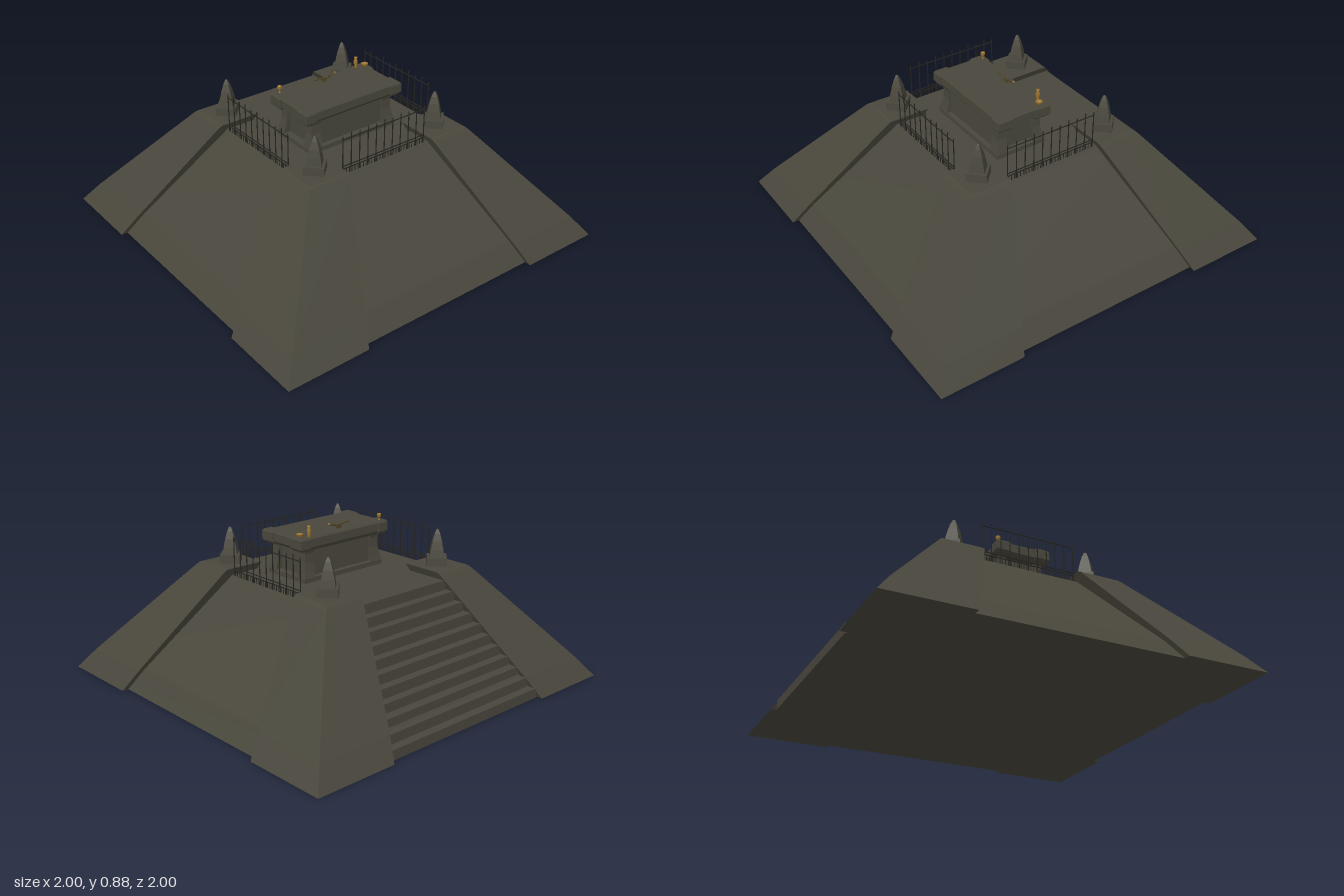
import * as THREE from 'three';

const mat = (name, color) => {
  const m = new THREE.MeshStandardMaterial({ color });
  m.name = name;
  return m;
};

// Lofts rectangles [y, x0, x1, z0, z1], bottom to top, into a closed solid
function loft(sections) {
  const pos = [];
  const rings = sections.map(([y, x0, x1, z0, z1]) =>
    [[x0, y, z1], [x1, y, z1], [x1, y, z0], [x0, y, z0]]);
  const quad = (a, b, c, d) => pos.push(...a, ...b, ...c, ...a, ...c, ...d);
  for (let s = 0; s < rings.length - 1; s++) {
    const lo = rings[s], up = rings[s + 1];
    for (let i = 0; i < 4; i++) {
      const j = (i + 1) % 4;
      quad(lo[i], lo[j], up[j], up[i]);
    }
  }
  const first = rings[0], last = rings[rings.length - 1];
  quad(first[3], first[2], first[1], first[0]);
  quad(...last);
  const g = new THREE.BufferGeometry();
  g.setAttribute('position', new THREE.Float32BufferAttribute(pos, 3));
  g.computeVertexNormals();
  return g;
}

// Orders a mirrored span so that the smaller value comes first
const span = (sign, a, b) => (sign > 0 ? [a, b] : [-b, -a]);

export function createModel() {
  const root = new THREE.Group();
  const stone = mat('dark stone', 0x49473c);
  const iron = mat('black iron', 0x25241f);
  const gold = mat('old gold', 0x9a7430);
  const bronze = mat('dull bronze', 0x4f4526);

  const add = (name, geometry, material, x = 0, y = 0, z = 0, parent = root) => {
    const m = new THREE.Mesh(geometry, material);
    m.name = name;
    m.position.set(x, y, z);
    parent.add(m);
    return m;
  };
  const box = (w, h, d) => new THREE.BoxGeometry(w, h, d);
  const lathe = (pts, n) => new THREE.LatheGeometry(pts.map(p => new THREE.Vector2(...p)), n);

  // Central mound with the recessed walls and the terrace floor
  const square = (y, r) => [y, -r, r, -r, r];
  add('mound', loft([square(0, 0.965), square(0.11, 0.885), square(0.565, 0.465), square(0.58, 0.452)]), stone);

  // Corner buttresses, each with a spire
  const buttress = [[0, 0.54, 1], [0.107, 0.493, 0.922], [0.6, 0.279, 0.517], [0.615, 0.272, 0.503], [0.62, 0.27, 0.492]];
  const spireProfile = [[0.054, 0], [0.046, 0.04], [0.034, 0.085], [0.02, 0.122], [0.009, 0.143], [0, 0.148]];
  for (const sx of [-1, 1]) for (const sz of [-1, 1]) {
    add('buttress', loft(buttress.map(([y, a, b]) => [y, ...span(sx, a, b), ...span(sz, a, b)])), stone);
    const spire = new THREE.Group();
    spire.name = 'spire';
    spire.position.set(sx * 0.385, 0.62, sz * 0.385);
    add('spireBase', new THREE.CylinderGeometry(0.073, 0.075, 0.044, 4).toNonIndexed(), stone, 0, 0.022, 0, spire);
    const tip = lathe(spireProfile, 4).toNonIndexed();
    tip.computeVertexNormals();
    add('spireTip', tip, stone, 0, 0.043, 0, spire);
    root.add(spire);
  }

  // Staircase on the model's right side, narrowing upward
  const steps = 11, rise = 0.58 / steps, run = 0.0445;
  for (let i = 0; i < steps; i++) {
    const x0 = -0.97 + i * run, top = (i + 1) * rise;
    const half = 0.54 - 0.27 * top / 0.62 + 0.012;
    add('step', box(-0.4 - x0, rise, half * 2), stone, (x0 - 0.4) / 2, top - rise / 2, 0);
  }

  // Railings on three sides of the terrace
  function railing(x, z, turn) {
    const rail = new THREE.Group();
    rail.name = 'railing';
    rail.position.set(x, 0.58, z);
    rail.rotation.y = turn;
    for (const y of [0.03, 0.045, 0.193]) add('railBar', box(0.53, 0.004, 0.004), iron, 0, y, 0, rail);
    const count = 11;
    for (let i = 0; i < count; i++) {
      const px = -0.262 + i * 0.524 / (count - 1);
      const h = i % 2 ? 0.215 : 0.205;
      add('railPost', box(0.004, h, 0.004), iron, px, h / 2, 0, rail);
      add('railPoint', new THREE.ConeGeometry(0.005, 0.014, 4), iron, px, h + 0.004, 0, rail);
    }
    for (let i = 0; i < 30; i++) {
      add('railTooth', box(0.003, 0.03, 0.003), iron, -0.255 + i * 0.0176, 0.015, 0, rail);
    }
    root.add(rail);
  }
  railing(0, 0.455, 0);
  railing(0, -0.455, 0);
  railing(0.445, 0, Math.PI / 2);

  // Altar: plinth, core, flared legs, slab and corner blocks
  const altar = new THREE.Group();
  altar.name = 'altar';
  altar.position.set(0.055, 0, -0.003);
  root.add(altar);
  add('altarPlinth', box(0.29, 0.025, 0.55), stone, 0, 0.5925, 0, altar);
  add('altarCore', box(0.235, 0.17, 0.47), stone, 0, 0.68, 0, altar);
  const leg = [[0.6, 0.085, 0.145, 0.2, 0.275], [0.63, 0.083, 0.138, 0.2, 0.268],
    [0.68, 0.08, 0.128, 0.2, 0.258], [0.73, 0.08, 0.127, 0.2, 0.257], [0.765, 0.08, 0.135, 0.2, 0.265]];
  for (const sx of [-1, 1]) for (const sz of [-1, 1]) {
    add('altarLeg', loft(leg.map(([y, a, b, c, d]) => [y, ...span(sx, a, b), ...span(sz, c, d)])), stone, 0, 0, 0, altar);
    const block = [[0.75, 0.075, 0.147, 0.245, 0.293], [0.763, 0.07, 0.156, 0.24, 0.305],
      [0.81, 0.07, 0.156, 0.24, 0.305], [0.82, 0.078, 0.148, 0.248, 0.297]];
    add('cornerBlock', loft(block.map(([y, a, b, c, d]) => [y, ...span(sx, a, b), ...span(sz, c, d)])), stone, 0, 0, 0, altar);
  }
  add('altarSlab', loft([[0.745, -0.13, 0.13, -0.27, 0.27], [0.765, -0.146, 0.146, -0.295, 0.295],
    [0.808, -0.146, 0.146, -0.295, 0.295], [0.816, -0.14, 0.14, -0.288, 0.288]]), stone, 0, 0, 0, altar);

  // Ritual vessels
  const goblet = [[0, 0], [0.011, 0], [0.004, 0.006], [0.004, 0.018], [0.012, 0.026], [0.012, 0.04], [0.009, 0.04], [0, 0.028]];
  add('goblet', lathe(goblet, 12), gold, -0.075, 0.816, 0.262);
  const urn = [[0, 0], [0.012, 0], [0.006, 0.01], [0.011, 0.022], [0.011, 0.042], [0.006, 0.05], [0.01, 0.06], [0, 0.06]];
  add('urn', lathe(urn, 12), gold, -0.075, 0.816, -0.235);
  add('bowl', lathe([[0, 0], [0.01, 0], [0.02, 0.02], [0.017, 0.02], [0, 0.008]], 14), gold, -0.052, 0.816, -0.277);

  // Curved dagger resting above the slab on a small stand
  const dagger = new THREE.Group();
  dagger.name = 'dagger';
  dagger.position.set(-0.042, 0.838, 0);
  root.add(dagger);
  const blade = new THREE.CatmullRomCurve3([[0, 0.003, 0.07], [0, 0.003, 0.04], [0, -0.003, 0.0], [0, 0, -0.04], [0, 0.01, -0.068]]
    .map(p => new THREE.Vector3(...p)));
  add('blade', new THREE.TubeGeometry(blade, 16, 0.004, 6), bronze, 0, 0, 0, dagger);
  add('guard', box(0.008, 0.014, 0.006), bronze, 0, 0, -0.03, dagger);
  add('pommel', new THREE.SphereGeometry(0.006, 8, 6), gold, 0, 0.01, -0.068, dagger);
  add('stand', box(0.006, 0.022, 0.03), bronze, 0, -0.012, 0, dagger);

  // Spires keep crisp facets
  root.traverse(o => {
    if (o.name === 'spireBase') o.geometry.computeVertexNormals();
  });
  return root;
}
